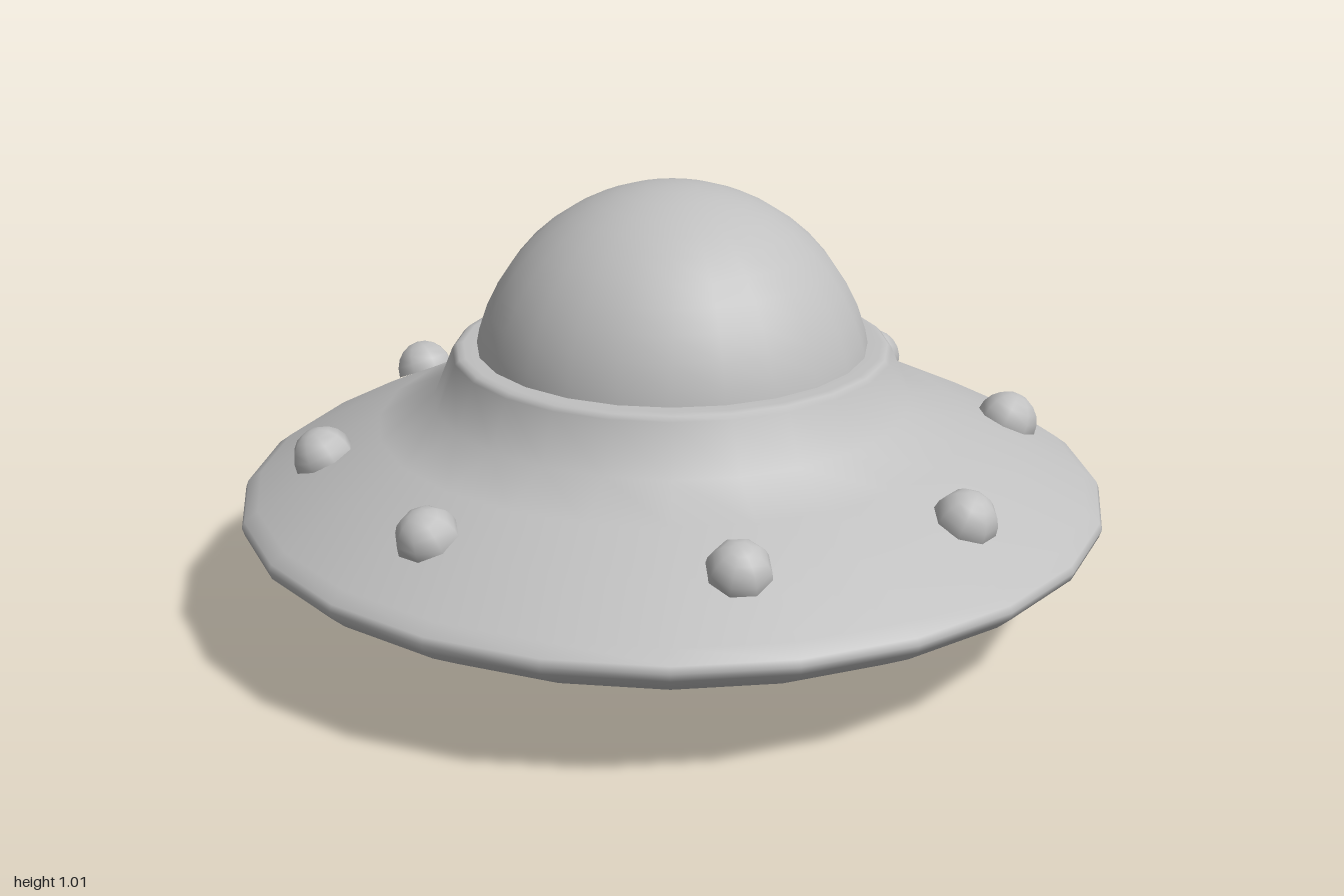
import * as THREE from 'three';

const SIDES = 24;

export function createModel() {
  const model = new THREE.Group();
  model.name = 'flyingSaucer';
  const grey = new THREE.MeshStandardMaterial({ color: 0xc0c0c0 });
  grey.name = 'hull grey';

  const add = (name, geometry, parent = model) => {
    const mesh = new THREE.Mesh(geometry, grey);
    mesh.name = name;
    parent.add(mesh);
    return mesh;
  };

  // Hull: one smooth turned profile from the foot ring up to the collar
  const profile = [
    [0.345, 0.006], [0.4, 0], [0.418, 0.012], [0.45, 0.065], [0.6, 0.105],
    [0.74, 0.142], [0.877, 0.187], [0.963, 0.235], [0.994, 0.262], [1, 0.28],
    [0.994, 0.295], [0.963, 0.318], [0.81, 0.4], [0.68, 0.458], [0.55, 0.513],
    [0.505, 0.625], [0.495, 0.635], [0.48, 0.638], [0.43, 0.638],
  ].map(([r, y]) => new THREE.Vector2(r, y));
  add('hull', new THREE.LatheGeometry(profile, SIDES));

  // Flat plate closing the underside
  const plate = add('underPlate', new THREE.CircleGeometry(0.345, SIDES));
  plate.rotation.x = Math.PI / 2;
  plate.position.y = 0.006;

  // Cockpit dome: a little more than a hemisphere's cap above the collar
  const radius = 0.458;
  const dome = add('cockpitDome',
    new THREE.SphereGeometry(radius, SIDES, 12, 0, Math.PI * 2, 0, Math.PI / 2));
  dome.position.y = 1.01 - radius;

  // Eight half-sphere lights, tilted to follow the slope of the upper hull
  const lights = new THREE.Group();
  lights.name = 'lights';
  model.add(lights);
  const bulb = new THREE.SphereGeometry(0.072, 8, 5, 0, Math.PI * 2, 0, Math.PI / 2);
  const up = new THREE.Vector3(0, 1, 0);
  const tilt = 0.41;
  for (const [x, z] of [[0.335, 0.715], [0.735, 0.325]]) {
    for (const sx of [1, -1]) {
      for (const sz of [1, -1]) {
        const light = add('light', bulb, lights);
        light.position.set(sx * x, 0.4, sz * z);
        const out = new THREE.Vector3(sx * x, 0, sz * z).normalize();
        const normal = out.multiplyScalar(Math.sin(tilt)).addScaledVector(up, Math.cos(tilt));
        light.quaternion.setFromUnitVectors(up, normal);
      }
    }
  }
  return model;
}
